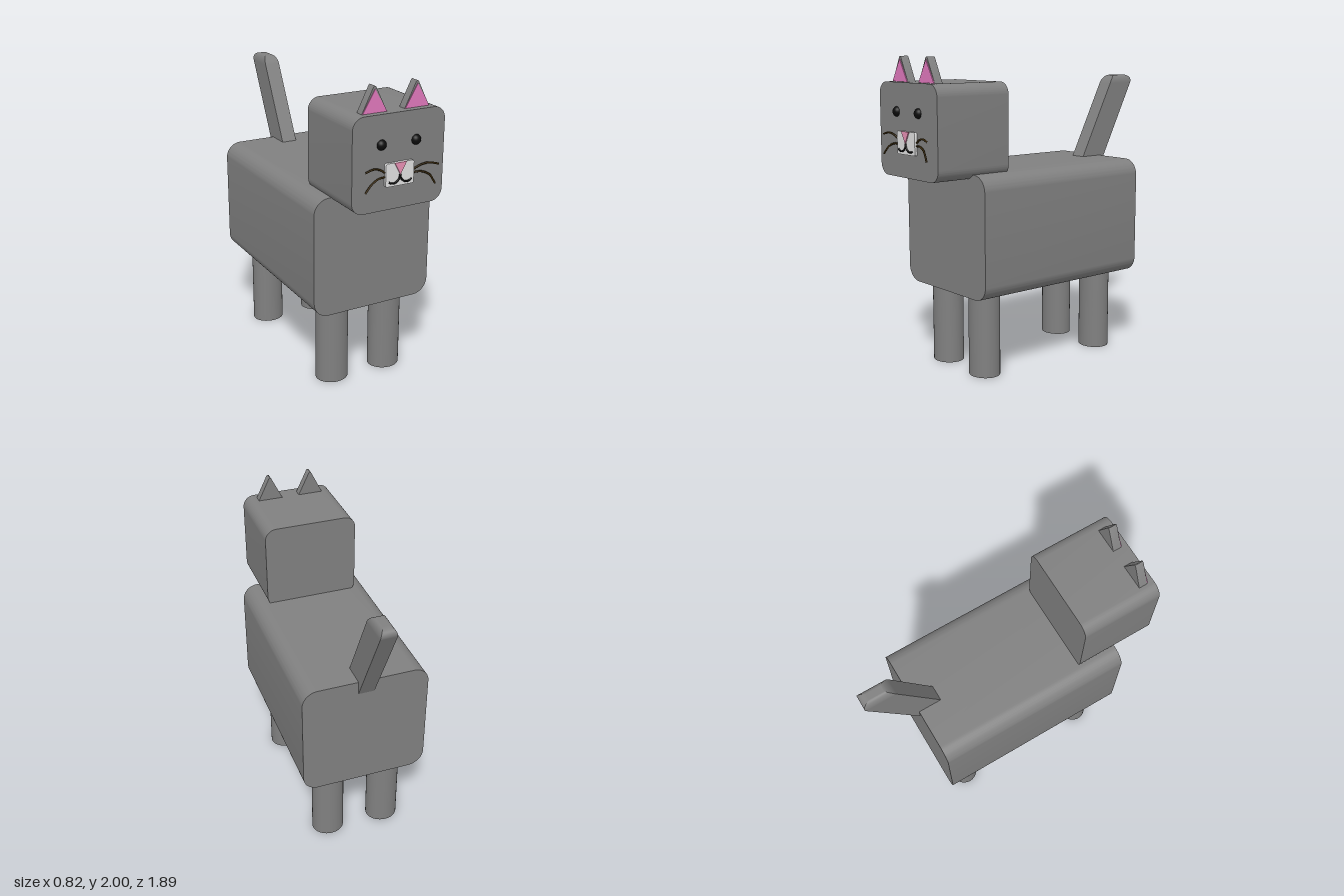
import * as THREE from 'three';
import { toCreasedNormals } from 'three/addons/utils/BufferGeometryUtils.js';

const mat = (name, color) => {
  const m = new THREE.MeshStandardMaterial({ color });
  m.name = name;
  return m;
};

export function createModel() {
  const fur = mat('grey fur', 0x808080);
  const pink = mat('ear pink', 0xe078bc);
  const nosePink = mat('nose pink', 0xe890b4);
  const white = mat('muzzle white', 0xe0e0e0);
  const black = mat('black', 0x0c0c0c);
  const brown = mat('whisker brown', 0x3a2a0c);

  const group = new THREE.Group();
  const add = (name, geometry, material, x = 0, y = 0, z = 0) => {
    const mesh = new THREE.Mesh(geometry, material);
    mesh.name = name;
    mesh.position.set(x, y, z);
    group.add(mesh);
    return mesh;
  };

  // Extrudes a shape between two z positions, with sharp ends and smooth corners
  const prism = (shape, z0, z1) => {
    const g = new THREE.ExtrudeGeometry(shape, { depth: z1 - z0, bevelEnabled: false, curveSegments: 10 });
    g.translate(0, 0, z0);
    return toCreasedNormals(g, 0.6);
  };

  const roundedRect = (w, y0, y1, r) => {
    const s = new THREE.Shape();
    s.absarc(w - r, y0 + r, r, -Math.PI / 2, 0);
    s.absarc(w - r, y1 - r, r, 0, Math.PI / 2);
    s.absarc(r - w, y1 - r, r, Math.PI / 2, Math.PI);
    s.absarc(r - w, y0 + r, r, Math.PI, Math.PI * 1.5);
    s.closePath();
    return s;
  };

  const triangle = (...p) => new THREE.Shape(p.map(([x, y]) => new THREE.Vector2(x, y)));

  const strand = (points, radius) =>
    new THREE.TubeGeometry(
      new THREE.CatmullRomCurve3(points.map((p) => new THREE.Vector3(...p))), 20, radius, 6);

  // Body and head
  add('body', prism(roundedRect(0.41, 0.53, 1.3, 0.1), -0.655, 0.635), fur);
  add('head', prism(roundedRect(0.308, 1.27, 1.845, 0.075), 0.37, 0.895), fur);

  // Legs, slightly oval
  for (const x of [-0.2, 0.19]) {
    for (const z of [0.477, -0.483]) {
      const leg = add(z > 0 ? 'frontLeg' : 'backLeg',
        new THREE.CylinderGeometry(0.096, 0.096, 0.56, 32), fur, x, 0.28, z);
      leg.scale.x = 1.11;
    }
  }

  // Tail: a leaning bar whose tip rounds inwards
  const yTop = 1.853, length = 0.75, tip = 0.055, steps = 8;
  const tailGeo = new THREE.BoxGeometry(0.104, length, 0.2, 1, steps, 1);
  const pos = tailGeo.attributes.position;
  for (let i = 0; i < pos.count; i++) {
    const row = Math.round((pos.getY(i) / length + 0.5) * steps);
    const angle = (Math.max(row - 1, 0) / (steps - 1)) * (Math.PI / 2);
    const y = row === 0 ? yTop - length : yTop - tip * (1 - Math.sin(angle));
    const inset = 1 - Math.cos(angle);
    const x = pos.getX(i), z = pos.getZ(i);
    pos.setXYZ(i,
      x - Math.sign(x) * 0.03 * inset,
      y,
      z - Math.sign(z) * (z < 0 ? 0.07 : 0.03) * inset - 0.6 - 0.51 * (y - 1.3));
  }
  tailGeo.computeVertexNormals();
  add('tail', tailGeo, fur);

  // Ears with pink inner faces
  for (const s of [-1, 1]) {
    const x = 0.141 * s;
    add('ear', prism(triangle([-0.09, 1.83], [0.09, 1.83], [0.008, 1.995], [0, 2], [-0.008, 1.995]), 0.795, 0.85), fur, x);
    add('innerEar', prism(triangle([-0.08, 1.846], [0.08, 1.846], [0, 1.982]), 0.848, 0.855), pink, x);
  }

  // Eyes
  for (const x of [-0.118, 0.114]) {
    add('eye', new THREE.SphereGeometry(0.032, 24, 16), black, x, 1.668, 0.889);
  }

  // Muzzle, nose and mouth
  add('muzzle', prism(roundedRect(0.095, 1.415, 1.555, 0.012), 0.89, 0.912), white);
  add('nose', prism(triangle([-0.04, 1.555], [0, 1.482], [0.04, 1.555]), 0.911, 0.919), nosePink);
  for (const s of [-1, 1]) {
    add('mouth', strand([
      [0, 1.482, 0.914], [0.008 * s, 1.455, 0.914], [0.035 * s, 1.435, 0.914],
      [0.06 * s, 1.435, 0.914], [0.078 * s, 1.446, 0.914],
    ], 0.006), black);
  }

  // Whiskers
  const whiskers = [
    [[-0.097, 1.502, 0.9], [-0.13, 1.525, 0.908], [-0.18, 1.538, 0.915], [-0.236, 1.526, 0.918]],
    [[-0.097, 1.475, 0.9], [-0.14, 1.473, 0.907], [-0.19, 1.45, 0.915], [-0.235, 1.404, 0.92]],
    [[0.1, 1.495, 0.9], [0.14, 1.515, 0.908], [0.19, 1.524, 0.917], [0.255, 1.51, 0.929]],
    [[0.1, 1.475, 0.9], [0.15, 1.474, 0.908], [0.2, 1.45, 0.917], [0.237, 1.392, 0.925]],
  ];
  for (const points of whiskers) add('whisker', strand(points, 0.006), brown);

  return group;
}
